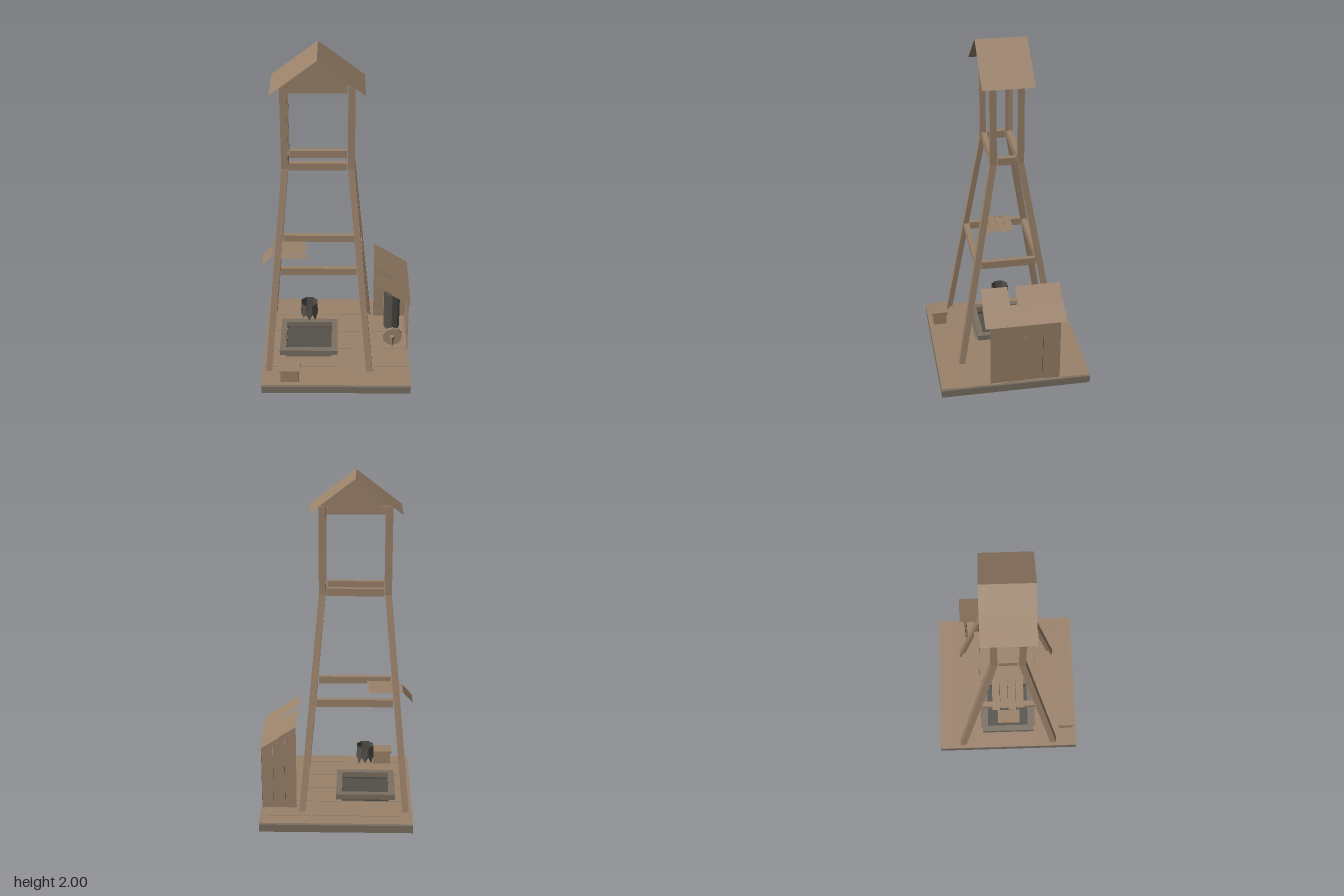
import * as THREE from 'three';

const mat = (name, color) => {
  const m = new THREE.MeshStandardMaterial({ color, side: THREE.DoubleSide, flatShading: true });
  m.name = name;
  return m;
};

export function createModel() {
  const root = new THREE.Group();
  root.name = 'wellTower';
  const wood = mat('wood', 0x9b826a);
  const grey = mat('greyWood', 0x7b7062);
  const dark = mat('darkWood', 0x54504a);
  const CX = -0.103; // tower axis

  const add = (name, geo, material) => {
    const mesh = new THREE.Mesh(geo, material);
    mesh.name = name;
    root.add(mesh);
    return mesh;
  };
  // box given by its min and max on each axis
  const box = (name, material, x0, x1, y0, y1, z0, z1) => {
    const m = add(name, new THREE.BoxGeometry(x1 - x0, y1 - y0, z1 - z0), material);
    m.position.set((x0 + x1) / 2, (y0 + y1) / 2, (z0 + z1) / 2);
    return m;
  };
  // thin board from a convex loop of corners
  const sheet = (name, material, ...p) => {
    const v = [];
    for (let i = 1; i < p.length - 1; i++) v.push(...p[0], ...p[i], ...p[i + 1]);
    const g = new THREE.BufferGeometry();
    g.setAttribute('position', new THREE.Float32BufferAttribute(v, 3));
    g.computeVertexNormals();
    return add(name, g, material);
  };
  const flat = (name, material, x0, x1, y, z0, z1) =>
    sheet(name, material, [x0, y, z0], [x0, y, z1], [x1, y, z1], [x1, y, z0]);

  // base and floor planks, cut away around the pit
  box('base', grey, -0.445, 0.445, 0, 0.046, -0.445, 0.445);
  for (let i = 0; i < 10; i++) {
    const z0 = -0.445 + i * 0.089, z1 = z0 + 0.089, y = 0.058 + (i % 2) * 0.003;
    if (i > 2 && i < 7) {
      flat('floorPlank', wood, -0.445, -0.31, y, z0, z1);
      flat('floorPlank', wood, -0.03, 0.445, y, z0, z1);
    } else flat('floorPlank', wood, -0.445, 0.445, y, z0, z1);
  }

  // pit with a raised kerb
  flat('pitBottom', dark, -0.31, -0.03, 0.05, -0.145, 0.145);
  for (const s of [-1, 1]) {
    const z = s * 0.145, x = -0.17 + s * 0.14;
    sheet('pitWall', dark, [-0.31, 0.047, z], [-0.03, 0.047, z], [-0.03, 0.066, z], [-0.31, 0.066, z]);
    sheet('pitWall', dark, [x, 0.047, -0.145], [x, 0.047, 0.145], [x, 0.066, 0.145], [x, 0.066, -0.145]);
    box('kerb', grey, -0.348, 0.006, 0.066, 0.1, s * 0.148 - 0.018, s * 0.148 + 0.018);
    box('kerb', grey, -0.171 + s * 0.159 - 0.018, -0.171 + s * 0.159 + 0.018, 0.066, 0.1, -0.13, 0.13);
  }

  // legs: angle section lofted through foot, bend and top
  const levels = [[0.06, 0.322, 0.313], [1.328, 0.207, 0.097], [1.835, 0.207, 0.097]];
  const A = 0.038, T = 0.013;
  const section = [[0, 0], [A, 0], [A, T], [T, T], [T, A], [0, A]];
  const leg = (sx, sz) => {
    const v = [], idx = [], n = section.length;
    for (const [y, hx, hz] of levels)
      for (const [a, b] of section) v.push(CX + sx * (hx - a), y, sz * (hz - b));
    const tri = (a, b, c) => idx.push(...(sx * sz > 0 ? [a, b, c] : [a, c, b]));
    for (let l = 0; l < 2; l++)
      for (let i = 0; i < n; i++) {
        const a = l * n + i, b = l * n + (i + 1) % n;
        tri(a, a + n, b);
        tri(b, a + n, b + n);
      }
    for (let i = 1; i < n - 1; i++) {
      tri(0, i, i + 1);
      tri(2 * n, 2 * n + i + 1, 2 * n + i);
    }
    const g = new THREE.BufferGeometry();
    g.setAttribute('position', new THREE.Float32BufferAttribute(v, 3));
    g.setIndex(idx);
    const flatGeo = g.toNonIndexed();
    flatGeo.computeVertexNormals();
    add('leg', flatGeo, wood);
  };
  for (const sx of [-1, 1]) for (const sz of [-1, 1]) leg(sx, sz);

  // rings of cross beams: y, half length x, offset z, half length z, offset x
  for (const [y, lx, oz, lz, ox] of [
    [0.703, 0.22, 0.182, 0.16, 0.243],
    [1.34, 0.164, 0.076, 0.052, 0.186],
    [1.812, 0.164, 0.076, 0.052, 0.186],
  ])
    for (const s of [-1, 1]) {
      box('crossBeam', wood, CX - lx, CX + lx, y - 0.022, y + 0.022, s * oz - 0.015, s * oz + 0.015);
      box('sideBeam', wood, CX + s * ox - 0.015, CX + s * ox + 0.015, y - 0.022, y + 0.022, -lz, lz);
    }

  // gable roof, two boards a side
  for (const s of [-1, 1]) {
    const edge = [[0, 2], [0.125, 1.905], [0.262, 1.8]];
    for (let i = 0; i < 2; i++) {
      const [a, ya] = edge[i], [b, yb] = edge[i + 1];
      sheet('roofBoard', wood, [CX + s * a, ya, -0.147], [CX + s * a, ya, 0.147],
        [CX + s * b, yb, 0.147], [CX + s * b, yb, -0.147]);
    }
    sheet('gable', wood, [CX - 0.207, 1.837, s * 0.098], [CX + 0.207, 1.837, s * 0.098], [CX, 1.995, s * 0.098]);
  }

  // small landing with a tilted chute
  for (let i = 0; i < 4; i++) {
    const z = -0.095 + i * 0.0475;
    flat('landingPlank', wood, -0.385 + (i % 2) * 0.012, -0.19 + (i % 2) * 0.015, 0.728, z, z + 0.045);
  }
  sheet('chute', wood, [-0.385, 0.722, -0.065], [-0.385, 0.722, 0.065], [-0.445, 0.655, 0.065], [-0.445, 0.655, -0.065]);

  // bucket of pointed staves, open at the top
  const N = 8, r = 0.053;
  for (let i = 0; i < N; i++) {
    const at = (k, y) => {
      const a = ((i + k) / N + 1 / 16) * Math.PI * 2;
      return [-0.167 + r * Math.cos(a), y, r * Math.sin(a)];
    };
    const drop = 0.238 + (i % 3) * 0.008;
    sheet('bucketStave', dark, at(0, 0.352), at(0, 0.285), at(0.5, drop), at(1, 0.285), at(1, 0.352));
  }
  const bottom = add('bucketBottom', new THREE.CircleGeometry(r * 0.95, N), dark);
  bottom.rotation.x = -Math.PI / 2;
  bottom.position.set(-0.167, 0.285, 0);

  // crate with a lid
  box('crate', wood, -0.33, -0.222, 0.06, 0.135, 0.335, 0.418);
  box('crateLid', wood, -0.338, -0.214, 0.135, 0.15, 0.326, 0.427);

  // lean-to: board walls on the left and the back
  const roofY = (x) => 0.588 - (x - 0.235) * 0.635;
  for (let i = 0; i < 4; i++) {
    const z0 = -0.26 + i * 0.104, z1 = z0 + 0.103, x = 0.44 - (i % 2) * 0.004;
    sheet('sideBoard', wood, [x, 0.06, z0], [x, 0.06, z1], [x, roofY(x), z1], [x, roofY(x), z0]);
  }
  for (let i = 0; i < 3; i++) {
    const x0 = 0.236 + i * 0.068, x1 = x0 + 0.067, z = -0.26 + (i % 2) * 0.004;
    sheet('backBoard', wood, [x0, 0.06, z], [x1, 0.06, z], [x1, roofY(x1), z], [x0, roofY(x0), z]);
  }
  // lean-to roof with a notch in the upper boards
  for (const [x0, x1, z0, z1, lift] of [
    [0.233, 0.35, -0.29, -0.024, 0.004],
    [0.233, 0.35, 0.021, 0.18, 0.004],
    [0.33, 0.445, -0.294, 0.183, 0],
  ])
    sheet('leanToRoof', wood, [x0, roofY(x0) + lift, z0], [x0, roofY(x0) + lift, z1],
      [x1, roofY(x1) + lift, z1], [x1, roofY(x1) + lift, z0]);

  // dark barrel and grinding wheel under the lean-to
  const barrel = add('barrel', new THREE.CylinderGeometry(0.05, 0.05, 0.26, 8), dark);
  barrel.position.set(0.35, 0.19, -0.15);
  const wheel = add('wheel', new THREE.CylinderGeometry(0.06, 0.06, 0.02, 10), wood);
  wheel.rotation.x = Math.PI / 2;
  wheel.position.set(0.345, 0.162, 0.095);
  const handle = add('wheelHandle', new THREE.CylinderGeometry(0.018, 0.003, 0.075, 4), wood);
  handle.position.set(0.343, 0.14, 0.118);

  return root;
}
